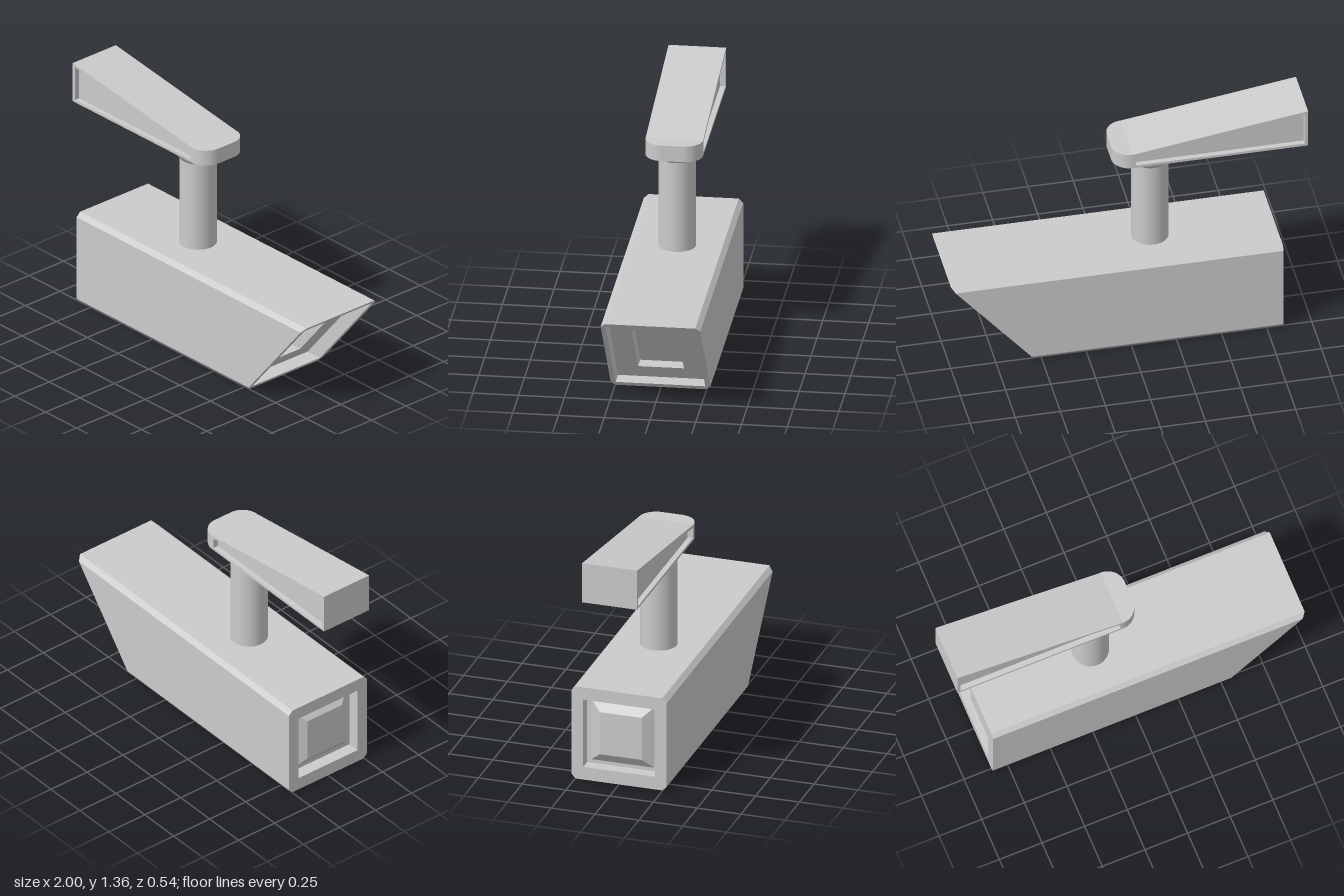
import * as THREE from 'three';

const material = new THREE.MeshStandardMaterial({ color: 0xcccccc });

function addMesh(group, name, geometry, x = 0, y = 0, z = 0) {
  const mesh = new THREE.Mesh(geometry, material);
  mesh.name = name;
  mesh.position.set(x, y, z);
  group.add(mesh);
  return mesh;
}

// Chamfered rectangle in the yz plane; xAt(y) places each corner along x
function ring(halfZ, y0, y1, chamfer, xAt) {
  const w = halfZ - chamfer, lo = y0 + chamfer, hi = y1 - chamfer;
  return [
    [y1, -w], [y1, w], [hi, halfZ], [lo, halfZ],
    [y0, w], [y0, -w], [lo, -halfZ], [hi, -halfZ],
  ].map(([y, z]) => new THREE.Vector3(xAt(y), y, z));
}

// Flat-faced skin through consecutive rings, capped at both ends
function loft(rings) {
  const positions = [];
  const tri = (a, b, c) => {
    if (a.equals(b) || b.equals(c) || c.equals(a)) return;
    for (const p of [a, b, c]) positions.push(p.x, p.y, p.z);
  };
  const n = rings[0].length;
  for (let r = 0; r < rings.length - 1; r++) {
    const a = rings[r], b = rings[r + 1];
    for (let i = 0; i < n; i++) {
      const j = (i + 1) % n;
      tri(a[i], a[j], b[j]);
      tri(a[i], b[j], b[i]);
    }
  }
  const first = rings[0], last = rings[rings.length - 1];
  for (let i = 1; i < n - 1; i++) {
    tri(first[0], first[i + 1], first[i]);
    tri(last[0], last[i], last[i + 1]);
  }
  const geometry = new THREE.BufferGeometry();
  geometry.setAttribute('position', new THREE.Float32BufferAttribute(positions, 3));
  geometry.computeVertexNormals();
  return geometry;
}

function polygon(points) {
  return new THREE.Shape(points.map(([x, y]) => new THREE.Vector2(x, y)));
}

function extrude(shape, depth) {
  return new THREE.ExtrudeGeometry(shape, { depth, bevelEnabled: false, curveSegments: 12 });
}

export function createModel() {
  const model = new THREE.Group();
  model.name = 'securityCamera';

  // Housing: raised rear panel, rear recess, outer shell, slanted hood, lens recess
  const flat = (x) => () => x;
  const slant = (inset) => (y) => 0.535 + 0.845 * y - inset;
  addMesh(model, 'housing', loft([
    ring(0.12, 0.15, 0.4, 0, flat(-0.81)),
    ring(0.18, 0.095, 0.455, 0, flat(-0.77)),
    ring(0.205, 0.075, 0.475, 0, flat(-0.77)),
    ring(0.205, 0.075, 0.475, 0, flat(-0.84)),
    ring(0.272, 0, 0.548, 0.025, flat(-0.84)),
    ring(0.272, 0, 0.548, 0.025, slant(0)),
    ring(0.245, 0.026, 0.525, 0, slant(0)),
    ring(0.245, 0.026, 0.525, 0, slant(0.1)),
    ring(0.125, 0.115, 0.435, 0, slant(0.1)),
    ring(0.125, 0.115, 0.435, 0, slant(0.19)),
  ]));

  // Post and its flared collar
  addMesh(model, 'post', new THREE.CylinderGeometry(0.102, 0.102, 0.54, 40), -0.157, 0.805, 0);
  addMesh(model, 'collar', new THREE.CylinderGeometry(0.148, 0.102, 0.062, 40), -0.157, 1.1, 0);

  // Tapered mounting arm with a framed recess on each side
  const arm = new THREE.Group();
  arm.name = 'mountingArm';
  model.add(arm);
  const half = 0.157, recess = 0.03, base = 1.13, endX = -0.03;
  const outline = [[-1, base], [endX, base], [endX, 1.221], [-1, 1.363]];
  const opening = [[-0.982, 1.145], [-0.982, 1.344], [-0.045, 1.207], [-0.045, 1.145]];
  const core = half - recess;
  addMesh(arm, 'armCore', extrude(polygon(outline), 2 * core), 0, 0, -core);
  const frame = polygon(outline);
  frame.holes.push(polygon(opening));
  for (const [name, z] of [['armFrameFront', core], ['armFrameBack', -half]]) {
    addMesh(arm, name, extrude(frame, recess), 0, 0, z);
  }

  // Rounded end of the arm, above the post
  const tip = 0.07, corner = 0.1;
  const cap = new THREE.Shape();
  cap.moveTo(endX, -half);
  cap.absarc(tip - corner, -half + corner, corner, -Math.PI / 2, 0);
  cap.absarc(tip - corner, half - corner, corner, 0, Math.PI / 2);
  cap.closePath();
  addMesh(arm, 'armEnd', extrude(cap, 0.091).rotateX(-Math.PI / 2), 0, base, 0);

  return model;
}
